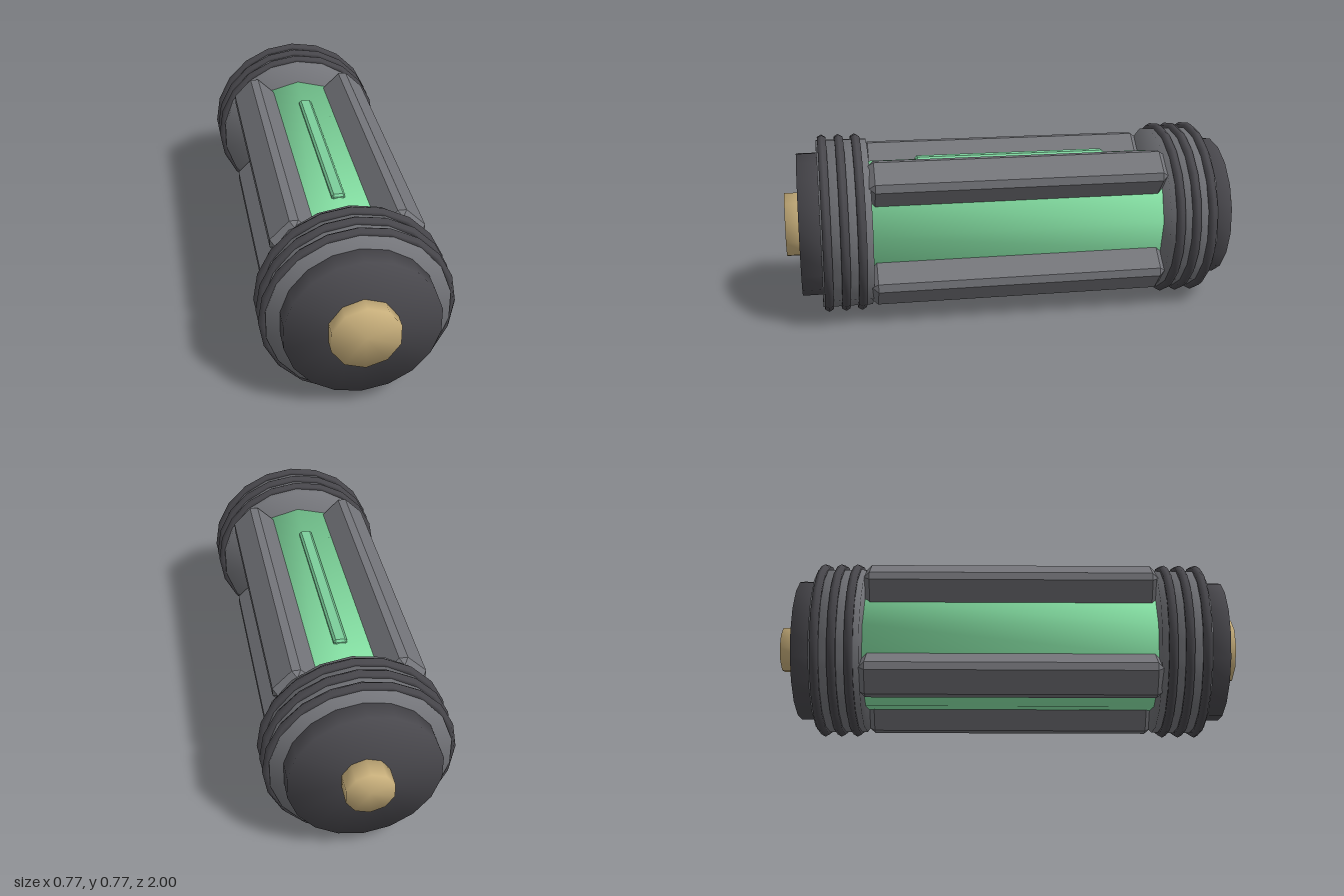
import * as THREE from 'three';
import { ConvexGeometry } from 'three/addons/geometries/ConvexGeometry.js';

const AXIS_Y = 0.387;

function material(name, color) {
  const m = new THREE.MeshStandardMaterial({ color });
  m.name = name;
  return m;
}

// Cylinder along z, shaded smoothly over its rims
function softCylinder(radius, z0, z1, sides) {
  const g = new THREE.CylinderGeometry(radius, radius, z1 - z0, sides);
  g.rotateX(-Math.PI / 2);
  const p = g.attributes.position;
  const n = new THREE.Vector3();
  for (let i = 0; i < p.count; i++) {
    n.set(p.getX(i) / radius, p.getY(i) / radius, 0.9 * Math.sign(p.getZ(i))).normalize();
    g.attributes.normal.setXYZ(i, n.x, n.y, n.z);
  }
  g.translate(0, 0, (z0 + z1) / 2);
  return g;
}

// Box with every edge cut flat by c
function chamferedBox(w, h, d, c) {
  const points = [];
  const x = w / 2, y = h / 2, z = d / 2;
  for (const sx of [-1, 1]) for (const sy of [-1, 1]) for (const sz of [-1, 1]) {
    points.push(
      new THREE.Vector3(sx * x, sy * (y - c), sz * (z - c)),
      new THREE.Vector3(sx * (x - c), sy * y, sz * (z - c)),
      new THREE.Vector3(sx * (x - c), sy * (y - c), sz * z)
    );
  }
  return new ConvexGeometry(points);
}

export function createModel() {
  const root = new THREE.Group();
  root.name = 'canister';
  const body = new THREE.Group();
  body.name = 'body';
  body.position.y = AXIS_Y;
  root.add(body);

  const grey = material('grey metal', 0x74757a);
  const dark = material('dark metal', 0x49484d);
  const green = material('green glass', 0x88e5a7);
  const marker = material('green marker', 0x7ccf9b);
  const brass = material('brass', 0xc9b07c);

  const add = (name, geometry, mat) => {
    const mesh = new THREE.Mesh(geometry, mat);
    mesh.name = name;
    body.add(mesh);
    return mesh;
  };

  // Inner glass tube and the strip along its top
  add('glassTube', softCylinder(0.268, -0.63, 0.655, 12), green);
  add('levelStrip', chamferedBox(0.056, 0.035, 0.845, 0.009), marker).position.set(0, 0.262, 0.012);

  // Four protective bars around the tube
  const bar = chamferedBox(0.16, 0.16, 1.276, 0.025);
  for (let i = 0; i < 4; i++) {
    const a = Math.PI / 4 + i * Math.PI / 2;
    const mesh = add('guardBar', bar, grey);
    mesh.position.set(0.301 * Math.cos(a), 0.301 * Math.sin(a), 0.015);
    mesh.rotation.z = a;
  }

  // Collars, end caps and contacts
  add('frontCollar', softCylinder(0.365, 0.645, 0.857, 18), grey);
  add('backCollar', softCylinder(0.365, -0.832, -0.62, 18), grey);
  add('frontCap', softCylinder(0.31, 0.8, 0.942, 18), dark);
  add('backCap', softCylinder(0.31, -0.915, -0.78, 18), dark);
  add('frontContact', softCylinder(0.141, 0.9, 1.0, 10), brass);
  add('backContact', softCylinder(0.1, -1.0, -0.88, 10), brass);

  // Grip rings on both collars
  const ring = new THREE.TorusGeometry(0.366, 0.021, 6, 20);
  for (const z of [0.69, 0.76, 0.832, -0.663, -0.734, -0.806]) {
    add('gripRing', ring, dark).position.z = z;
  }

  return root;
}
